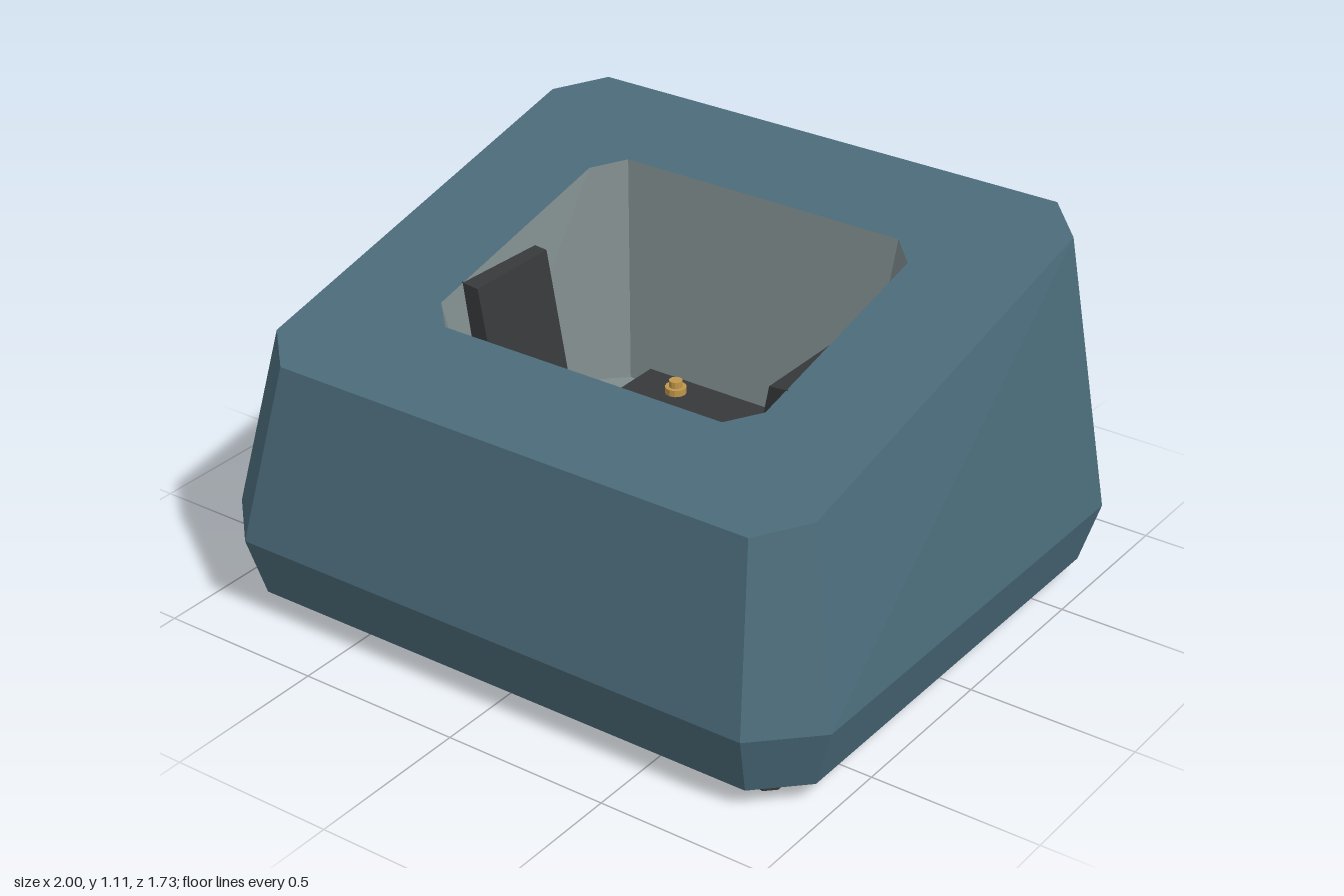
import * as THREE from 'three';

const mat = (color) => new THREE.MeshStandardMaterial({ color, flatShading: true });
const slopeY = (z) => 0.935 - 0.235 * z; // tilted top plane

// Chamfered rectangle, counter-clockwise seen from above
function octagon(hx, zBack, zFront, c, yAt) {
  const pts = [
    [hx, zFront - c], [hx, zBack + c], [hx - c, zBack], [c - hx, zBack],
    [-hx, zBack + c], [-hx, zFront - c], [c - hx, zFront], [hx - c, zFront],
  ];
  return pts.map(([x, z]) => new THREE.Vector3(x, yAt(z), z));
}

// Joins successive rings with quads; caps are optional fans
function loft(rings, { capStart = false, capEnd = false } = {}) {
  const pos = [];
  const tri = (...v) => v.forEach((p) => pos.push(p.x, p.y, p.z));
  for (let r = 0; r < rings.length - 1; r++) {
    const a = rings[r], b = rings[r + 1], n = a.length;
    for (let i = 0; i < n; i++) {
      const j = (i + 1) % n;
      tri(a[i], a[j], b[j]);
      tri(a[i], b[j], b[i]);
    }
  }
  const first = rings[0], last = rings[rings.length - 1];
  for (let i = 1; i < first.length - 1; i++) {
    if (capStart) tri(first[0], first[i + 1], first[i]);
    if (capEnd) tri(last[0], last[i], last[i + 1]);
  }
  const g = new THREE.BufferGeometry();
  g.setAttribute('position', new THREE.Float32BufferAttribute(pos, 3));
  g.computeVertexNormals();
  return g;
}

export function createModel() {
  const model = new THREE.Group();
  model.name = 'chargingDock';
  const shellMat = mat(0x4b6b7a), linerMat = mat(0x808c8d);
  const rubberMat = mat(0x363839), goldMat = mat(0xc0964a);

  const add = (name, geometry, material, x = 0, y = 0, z = 0) => {
    const mesh = new THREE.Mesh(geometry, material);
    mesh.name = name;
    mesh.position.set(x, y, z);
    model.add(mesh);
    return mesh;
  };

  // Outer shell, ending in the sloped rim around the pocket
  const floorY = 0.38;
  const pocketRim = octagon(0.54, -0.425, 0.415, 0.08, slopeY);
  add('shell', loft([
    octagon(0.945, -0.81, 0.81, 0.13, () => 0.06),
    octagon(1, -0.865, 0.865, 0.165, () => 0.245),
    octagon(0.89, -0.745, 0.745, 0.12, slopeY),
    pocketRim,
  ], { capStart: true }), shellMat);

  // Tapered pocket with its floor
  add('pocket', loft([
    pocketRim,
    octagon(0.46, -0.34, 0.335, 0.067, () => floorY),
  ], { capEnd: true }), linerMat);

  // Contact plate at the back of the pocket floor, with two pins
  add('contactPlate', new THREE.BoxGeometry(0.64, 0.05, 0.155), rubberMat, 0, floorY + 0.025, -0.2625);
  for (const side of [-1, 1]) {
    const x = side * 0.175;
    add('contactCollar', new THREE.CylinderGeometry(0.032, 0.032, 0.02, 12), goldMat, x, floorY + 0.06, -0.265);
    add('contactPin', new THREE.CylinderGeometry(0.02, 0.02, 0.03, 12), goldMat, x, floorY + 0.075, -0.265);
  }

  // Leaning grip pads on the side walls
  for (const side of [-1, 1]) {
    const profile = new THREE.Shape([
      [0.545, 0.88], [0.487, 0.875], [0.393, floorY], [0.46, floorY],
    ].map(([x, y]) => new THREE.Vector2(side * x, y)));
    add(side > 0 ? 'leftGripPad' : 'rightGripPad',
      new THREE.ExtrudeGeometry(profile, { depth: 0.31, bevelEnabled: false }), rubberMat, 0, 0, -0.07);
  }

  // Four chamfered feet
  const footGeometry = loft([
    octagon(0.1325, -0.12, 0.12, 0.028, () => 0),
    octagon(0.1325, -0.12, 0.12, 0.028, () => 0.06),
  ], { capStart: true, capEnd: true });
  for (const x of [-0.7025, 0.7025]) {
    for (const z of [-0.595, 0.595]) add('foot', footGeometry, rubberMat, x, 0, z);
  }

  return model;
}
